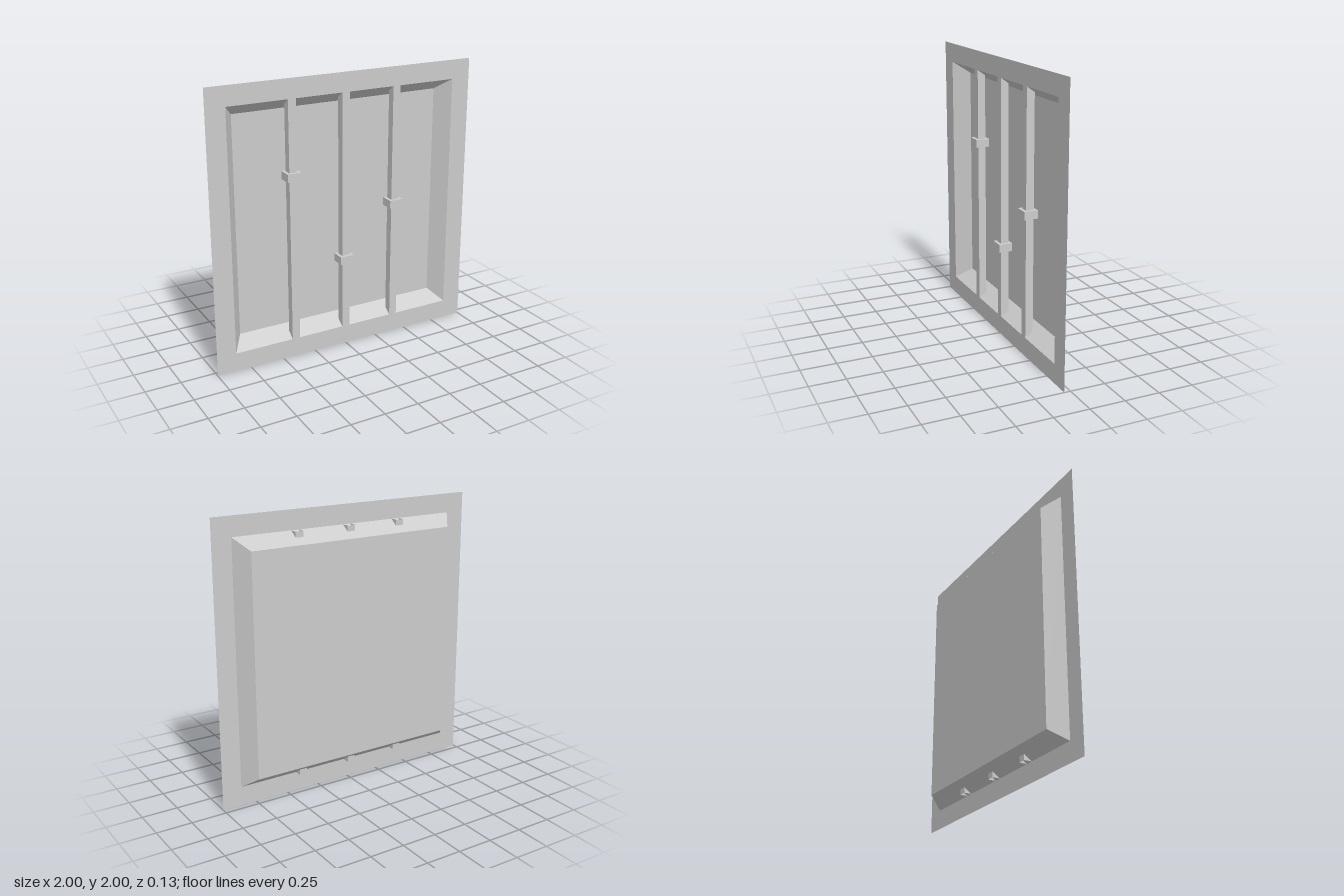
import * as THREE from 'three';

const material = new THREE.MeshStandardMaterial({ color: 0xcccccc, side: THREE.DoubleSide, flatShading: true });

const FRONT = 0.045, BACK = -0.067; // plane of the frame, plane of the tray floor
const HALF_W = 0.86, HALF_H = 0.863, INSET = 0.08;

// Box with some sides left out (0..5 = +x, -x, +y, -y, +z, -z)
function openBox(w, h, d, missing) {
  const geometry = new THREE.BoxGeometry(w, h, d);
  const index = Array.from(geometry.index.array);
  geometry.setIndex(index.filter((_, i) => !missing.includes(Math.floor(i / 6))));
  geometry.clearGroups();
  return geometry;
}

function addMesh(group, name, geometry, x, y, z) {
  const mesh = new THREE.Mesh(geometry, material);
  mesh.name = name;
  mesh.position.set(x, y, z);
  group.add(mesh);
}

function rectangle(path, w, h) {
  path.moveTo(-w, -h).lineTo(w, -h).lineTo(w, h).lineTo(-w, h).closePath();
  return path;
}

export function createModel() {
  const group = new THREE.Group();
  group.name = 'sliderPanel';

  // Flat sheet surrounding the recess
  const sheet = rectangle(new THREE.Shape(), 1, 1);
  sheet.holes.push(rectangle(new THREE.Path(), HALF_W, HALF_H));
  addMesh(group, 'frame', new THREE.ShapeGeometry(sheet), 0, 1, FRONT);

  // Recessed tray, open at the front and tapering to its floor
  const tray = openBox(2 * HALF_W, 2 * HALF_H, FRONT - BACK, [4]);
  const p = tray.attributes.position;
  for (let i = 0; i < p.count; i++) {
    if (p.getZ(i) < 0) {
      p.setX(i, p.getX(i) - Math.sign(p.getX(i)) * INSET);
      p.setY(i, p.getY(i) - Math.sign(p.getY(i)) * INSET);
    }
  }
  tray.computeVertexNormals();
  addMesh(group, 'tray', tray, 0, 1, (FRONT + BACK) / 2);

  // Three hollow rails, each with a block that slides along it
  const railDepth = 0.056;
  const railZ = FRONT - railDepth / 2;
  const sliders = [[-0.4, 1.335], [0, 0.663], [0.4, 1.015]];
  for (const [x, y] of sliders) {
    addMesh(group, 'rail', openBox(0.058, 2 * HALF_H, railDepth, [2, 3]), x, 1, railZ);
    addMesh(group, 'slider', new THREE.BoxGeometry(0.103, 0.057, 0.098), x, y, 0.067 - 0.049);
  }
  return group;
}
